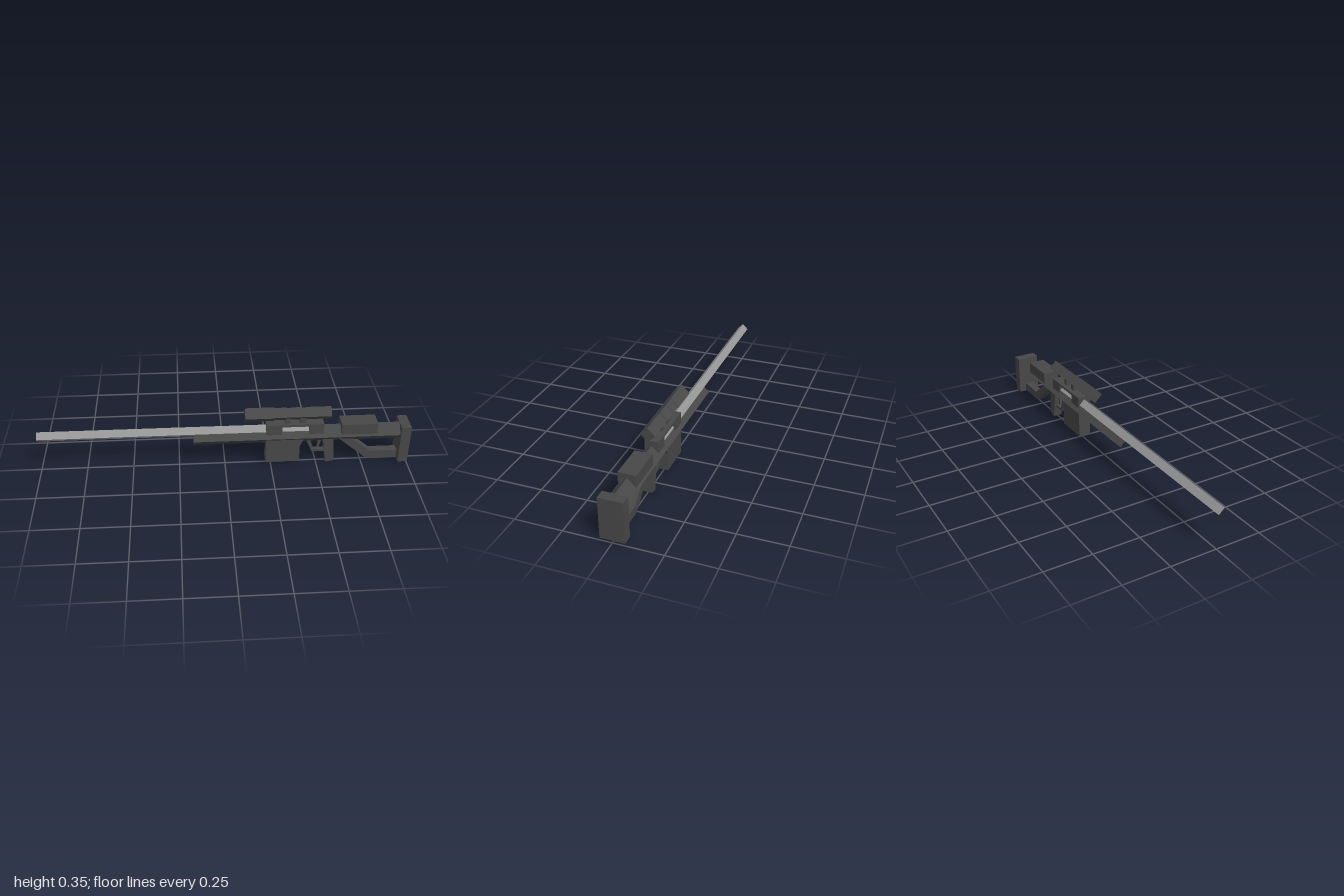
import * as THREE from 'three';

export function createModel() {
  const model = new THREE.Group();
  const gunmetal = new THREE.MeshStandardMaterial({ color: 0x484848 });
  gunmetal.name = 'dark gunmetal';
  const steel = new THREE.MeshStandardMaterial({ color: 0x969696 });
  steel.name = 'barrel steel';
  gunmetal.flatShading = steel.flatShading = true;

  const add = (name, geometry, material = gunmetal) => {
    const mesh = new THREE.Mesh(geometry, material);
    mesh.name = name;
    model.add(mesh);
    return mesh;
  };

  // Box given by its x and y limits and half its depth
  const box = (name, x0, x1, y0, y1, half, z = 0) =>
    add(name, new THREE.BoxGeometry(x1 - x0, y1 - y0, half * 2))
      .position.set((x0 + x1) / 2, (y0 + y1) / 2, z);

  // Four-sided bar along x, standing on its edge
  const diamondBar = (name, x0, x1, y, radius, material = gunmetal, z = 0) => {
    const geometry = new THREE.CylinderGeometry(radius, radius, x1 - x0, 4);
    geometry.rotateZ(Math.PI / 2);
    add(name, geometry, material).position.set((x0 + x1) / 2, y, z);
  };

  // Side outline extruded evenly about z = 0
  const plate = (name, points, half) => {
    const shape = new THREE.Shape(points.map(([x, y]) => new THREE.Vector2(x, y)));
    const geometry = new THREE.ExtrudeGeometry(shape, { depth: half * 2, bevelEnabled: false });
    geometry.translate(0, 0, -half);
    add(name, geometry);
  };

  // Barrel and main body
  diamondBar('barrel', -1, 0.5, 0.215, 0.03, steel);
  diamondBar('body', -0.17, 0.95, 0.181, 0.053);

  // Receiver: two blocks bridged over the exposed barrel
  box('receiverFront', 0.22, 0.305, 0.197, 0.259, 0.036);
  box('receiverRear', 0.45, 0.53, 0.197, 0.259, 0.036);
  box('receiverBridge', 0.305, 0.45, 0.246, 0.259, 0.036);

  // Stock
  box('cheekRest', 0.625, 0.82, 0.192, 0.255, 0.046);
  box('buttPad', 0.947, 1, 0.012, 0.233, 0.063);
  plate('stockStrut', [
    [0.62, 0.15], [0.778, 0.016], [0.95, 0.016],
    [0.95, 0.062], [0.795, 0.062], [0.69, 0.15],
  ], 0.022);

  // Magazine, grip and trigger
  plate('magazine', [
    [0.22, 0.02], [0.405, 0.02], [0.405, 0.12], [0.425, 0.165], [0.22, 0.165],
  ], 0.034);
  plate('grip', [
    [0.53, 0.155], [0.555, 0], [0.6, 0.01], [0.588, 0.155],
  ].map(([x, y]) => [x, y]), 0.025);
  plate('triggerGuard', [
    [0.44, 0.145], [0.476, 0.064], [0.555, 0.064],
    [0.555, 0.078], [0.486, 0.078], [0.458, 0.145],
  ], 0.012);
  plate('trigger', [
    [0.508, 0.14], [0.503, 0.09], [0.513, 0.087], [0.526, 0.14],
  ], 0.008);

  // Scope: wide objective, tube stepped at the two mounts
  const scopeY = 0.312, scopeZ = 0.004;
  diamondBar('scopeObjective', 0.105, 0.262, scopeY, 0.043, gunmetal, scopeZ);
  diamondBar('scopeTube', 0.26, 0.565, scopeY, 0.036, gunmetal, scopeZ);
  for (const [x0, x1] of [[0.262, 0.325], [0.35, 0.405], [0.43, 0.566]]) {
    diamondBar('scopeSleeve', x0, x1, scopeY, 0.039, gunmetal, scopeZ);
  }
  for (const x of [0.322, 0.402]) {
    box('scopeMount', x, x + 0.03, 0.255, 0.3, 0.0165, scopeZ);
  }

  return model;
}
